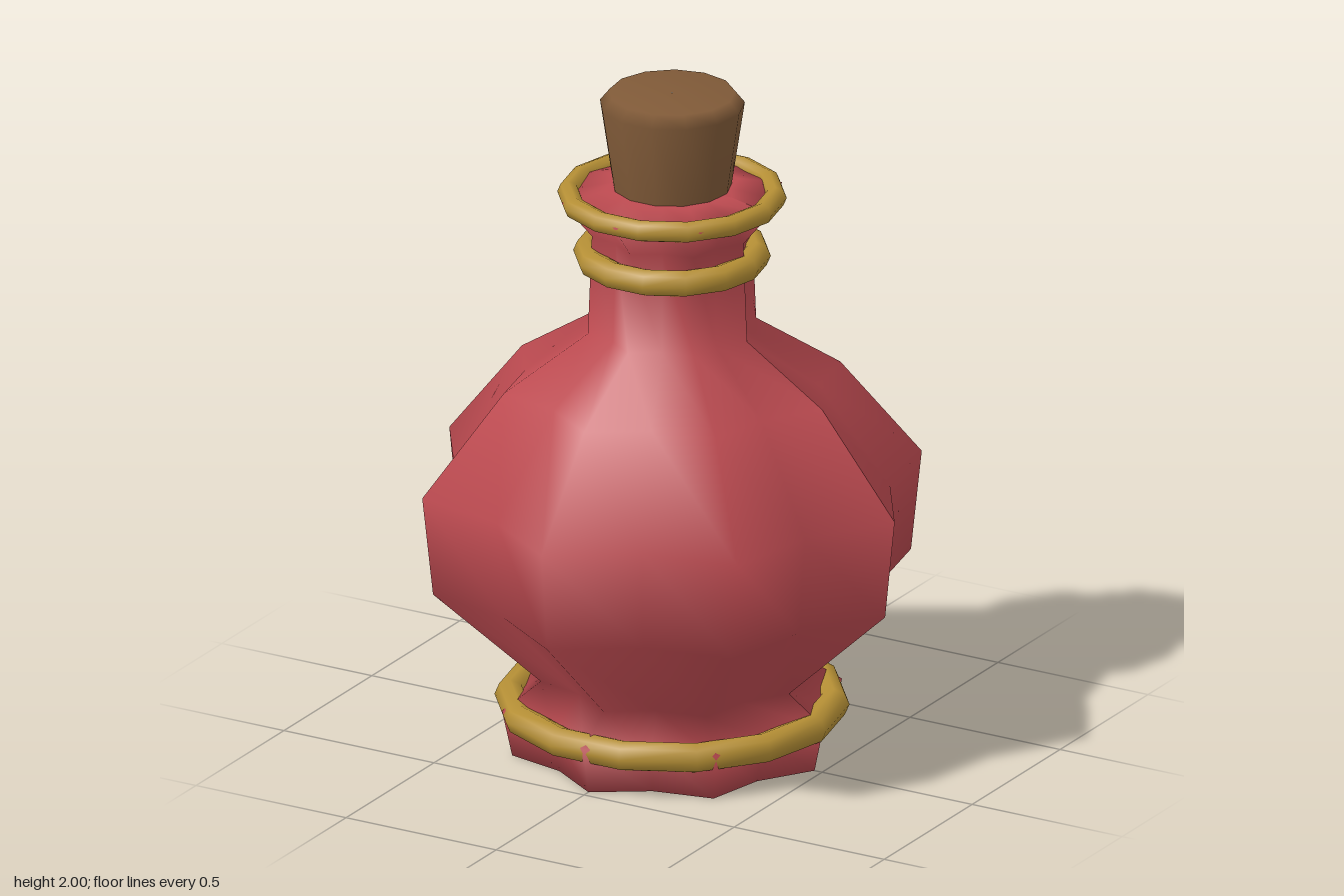
import * as THREE from 'three';

const glass = new THREE.MeshStandardMaterial({ name: 'red glass', color: 0xbc4a50 });
const gold = new THREE.MeshStandardMaterial({ name: 'gold', color: 0xb58f35 });
const cork = new THREE.MeshStandardMaterial({ name: 'cork', color: 0x805a38 });

const points = (list) => list.map(([r, y]) => new THREE.Vector2(r, y));

// Turned profile whose every second column is pulled in, giving eight ribs
function ribbedLathe(profile, ribs, valley) {
  const geometry = new THREE.LatheGeometry(points(profile), ribs * 2);
  const position = geometry.attributes.position;
  for (let i = 0; i < position.count; i++) {
    const column = Math.floor(i / profile.length);
    if (column % 2 === 1) {
      position.setX(i, position.getX(i) * valley);
      position.setZ(i, position.getZ(i) * valley);
    }
  }
  geometry.rotateY(Math.PI / 2);
  geometry.computeVertexNormals();
  return geometry;
}

export function createModel() {
  const group = new THREE.Group();
  group.name = 'potionBottle';

  const add = (name, geometry, material) => {
    const mesh = new THREE.Mesh(geometry, material);
    mesh.name = name;
    group.add(mesh);
    return mesh;
  };

  // Bottle: foot, belly, neck and flared lip in one ribbed surface
  add('bottle', ribbedLathe([
    [0.002, 0], [0.475, 0], [0.505, 0.14], [0.39, 0.22],
    [0.71, 0.52], [0.742, 0.82], [0.5, 1.12], [0.25, 1.28],
    [0.238, 1.58], [0.328, 1.69], [0.2, 1.715], [0.002, 1.715],
  ], 8, 0.853), glass);

  // Gold rings: name, height, radius, thickness
  for (const [name, y, radius, tube] of [
    ['footRing', 0.127, 0.467, 0.045],
    ['neckRing', 1.505, 0.245, 0.04],
    ['lipRing', 1.685, 0.299, 0.032],
  ]) {
    const ring = new THREE.TorusGeometry(radius, tube, 8, 14);
    ring.rotateX(Math.PI / 2);
    add(name, ring, gold).position.y = y;
  }

  // Tapered stopper with a bevelled top edge
  const stopper = new THREE.LatheGeometry(points([
    [0.002, 1.66], [0.165, 1.66], [0.173, 1.72], [0.21, 1.965], [0.182, 2], [0.002, 2],
  ]), 13);
  stopper.rotateY(Math.PI);
  add('stopper', stopper, cork);

  return group;
}
